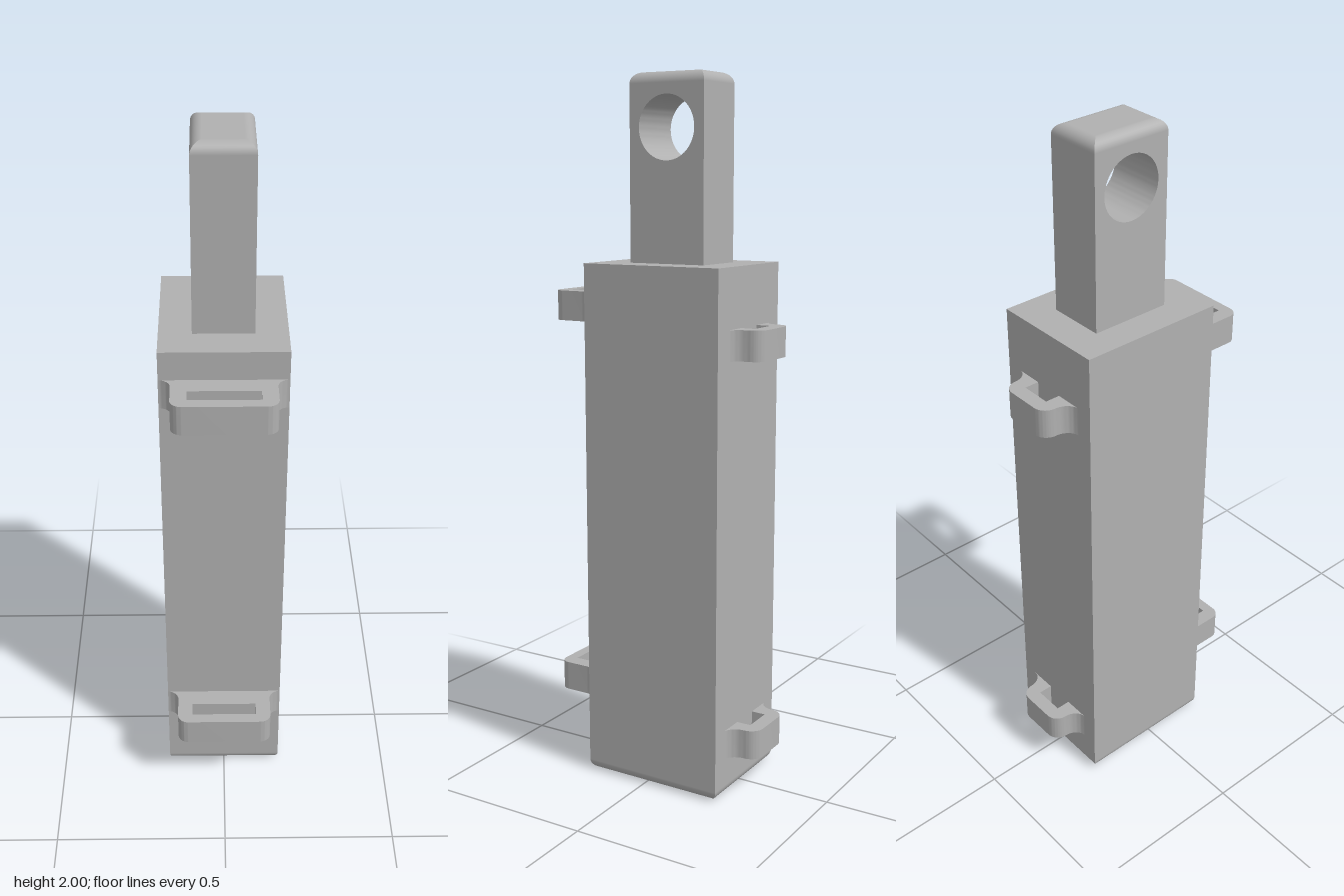
import * as THREE from 'three';
import { toCreasedNormals } from 'three/addons/utils/BufferGeometryUtils.js';

const grey = new THREE.MeshStandardMaterial({ color: 0xb0b0b0 });
grey.name = 'plain grey';

function add(parent, name, geometry, x, y, z) {
  const mesh = new THREE.Mesh(geometry, grey);
  mesh.name = name;
  mesh.position.set(x, y, z);
  parent.add(mesh);
  return mesh;
}

// Rectangular end cap whose four edges are rounded and meet in mitred corners
function roundedCap(width, depth, r, steps = 8) {
  const pos = [], nor = [], idx = [];
  const up = new THREE.Vector3(0, 1, 0);
  const push = (p, n) => { pos.push(p.x, p.y, p.z); nor.push(n.x, n.y, n.z); };
  for (let k = 0; k < 4; k++) {
    const a = k * Math.PI / 2;
    const out = new THREE.Vector3(Math.sin(a), 0, Math.cos(a));
    const side = new THREE.Vector3(Math.cos(a), 0, -Math.sin(a));
    const hOut = (k % 2 ? width : depth) / 2, hSide = (k % 2 ? depth : width) / 2;
    const point = (t, s) => {
      const inset = r * (1 - Math.cos(t));
      return new THREE.Vector3(0, r * Math.sin(t), 0)
        .addScaledVector(out, hOut - inset).addScaledVector(side, s * (hSide - inset));
    };
    for (let j = 0; j <= steps; j++) {
      const t = j / steps * Math.PI / 2;
      const n = out.clone().multiplyScalar(Math.cos(t)).addScaledVector(up, Math.sin(t));
      const b = pos.length / 3;
      push(point(t, -1), n);
      push(point(t, 1), n);
      if (j < steps) idx.push(b, b + 1, b + 3, b, b + 3, b + 2);
    }
    // flat centre
    const b = pos.length / 3;
    push(point(Math.PI / 2, -1), up);
    push(point(Math.PI / 2, 1), up);
    push(new THREE.Vector3(0, r, 0), up);
    idx.push(b, b + 1, b + 2);
  }
  const g = new THREE.BufferGeometry();
  g.setAttribute('position', new THREE.Float32BufferAttribute(pos, 3));
  g.setAttribute('normal', new THREE.Float32BufferAttribute(nor, 3));
  g.setIndex(idx);
  return g;
}

// Lays a shape flat (shape y runs along +z) with its underside at y = 0
function slab(shape, height) {
  const g = new THREE.ExtrudeGeometry(shape, { depth: height, bevelEnabled: false, curveSegments: 10 });
  g.rotateX(Math.PI / 2).translate(0, height, 0);
  return toCreasedNormals(g, 0.6);
}

// Loop outline: flared foot, straight sides, rounded outer corners
function loopOutline(footX, halfX, footY, reach, corner) {
  const s = new THREE.Shape();
  const f = footX - halfX;
  s.moveTo(footX, 0);
  s.bezierCurveTo(footX - f * 0.55, 0, halfX, footY * 0.45, halfX, footY);
  s.lineTo(halfX, reach - corner);
  s.absarc(halfX - corner, reach - corner, corner, 0, Math.PI / 2, false);
  s.lineTo(-halfX + corner, reach);
  s.absarc(-halfX + corner, reach - corner, corner, Math.PI / 2, Math.PI, false);
  s.lineTo(-halfX, footY);
  s.bezierCurveTo(-halfX, footY * 0.45, -footX + f * 0.55, 0, -footX, 0);
  return s;
}

export function createModel() {
  const model = new THREE.Group();
  model.name = 'boxWithLoops';

  // Body with rounded bottom
  const r = 0.03, top = 1.49, front = 0.19, back = -0.236;
  const midZ = (front + back) / 2, depth = front - back;
  add(model, 'body', new THREE.BoxGeometry(0.34, top - r, depth), 0, (top + r) / 2, midZ);
  add(model, 'bodyBottom', roundedCap(0.34, depth, r).rotateX(Math.PI), 0, r, midZ);

  // Tongue with a round hole across it and a rounded top
  const tw = 0.164, td = 0.233, tz = -0.023, th = 2 - r;
  const plate = new THREE.Shape([
    new THREE.Vector2(-td / 2, top), new THREE.Vector2(td / 2, top),
    new THREE.Vector2(td / 2, th), new THREE.Vector2(-td / 2, th),
  ]);
  plate.holes.push(new THREE.Path().absarc(0, 1.853, 0.087, 0, Math.PI * 2, true));
  const tongue = new THREE.ExtrudeGeometry(plate, { depth: tw, bevelEnabled: false, curveSegments: 40 });
  tongue.translate(0, 0, -tw / 2).rotateY(Math.PI / 2);
  add(model, 'tongue', toCreasedNormals(tongue, 0.6), 0, 0, tz);
  add(model, 'tongueTop', roundedCap(tw, td, r), 0, th, tz);

  // Wide front loops with a closed slot
  const wide = loopOutline(0.17, 0.138, 0.032, 0.128, 0.03);
  wide.holes.push(new THREE.Path([
    new THREE.Vector2(-0.095, 0.054), new THREE.Vector2(-0.095, 0.096),
    new THREE.Vector2(0.095, 0.096), new THREE.Vector2(0.095, 0.054),
  ]));
  for (const y of [0.218, 1.325]) add(model, 'frontLoop', slab(wide, 0.084), 0, y, front);

  // Narrow back loops, open towards the body
  const narrow = loopOutline(0.123, 0.085, 0.046, 0.084, 0.038);
  narrow.lineTo(-0.044, 0);
  narrow.lineTo(-0.044, 0.042);
  narrow.lineTo(0.044, 0.042);
  narrow.lineTo(0.044, 0);
  for (const y of [0.112, 1.24]) {
    add(model, 'backLoop', slab(narrow, 0.084), 0, y, back).rotation.y = Math.PI;
  }
  return model;
}
